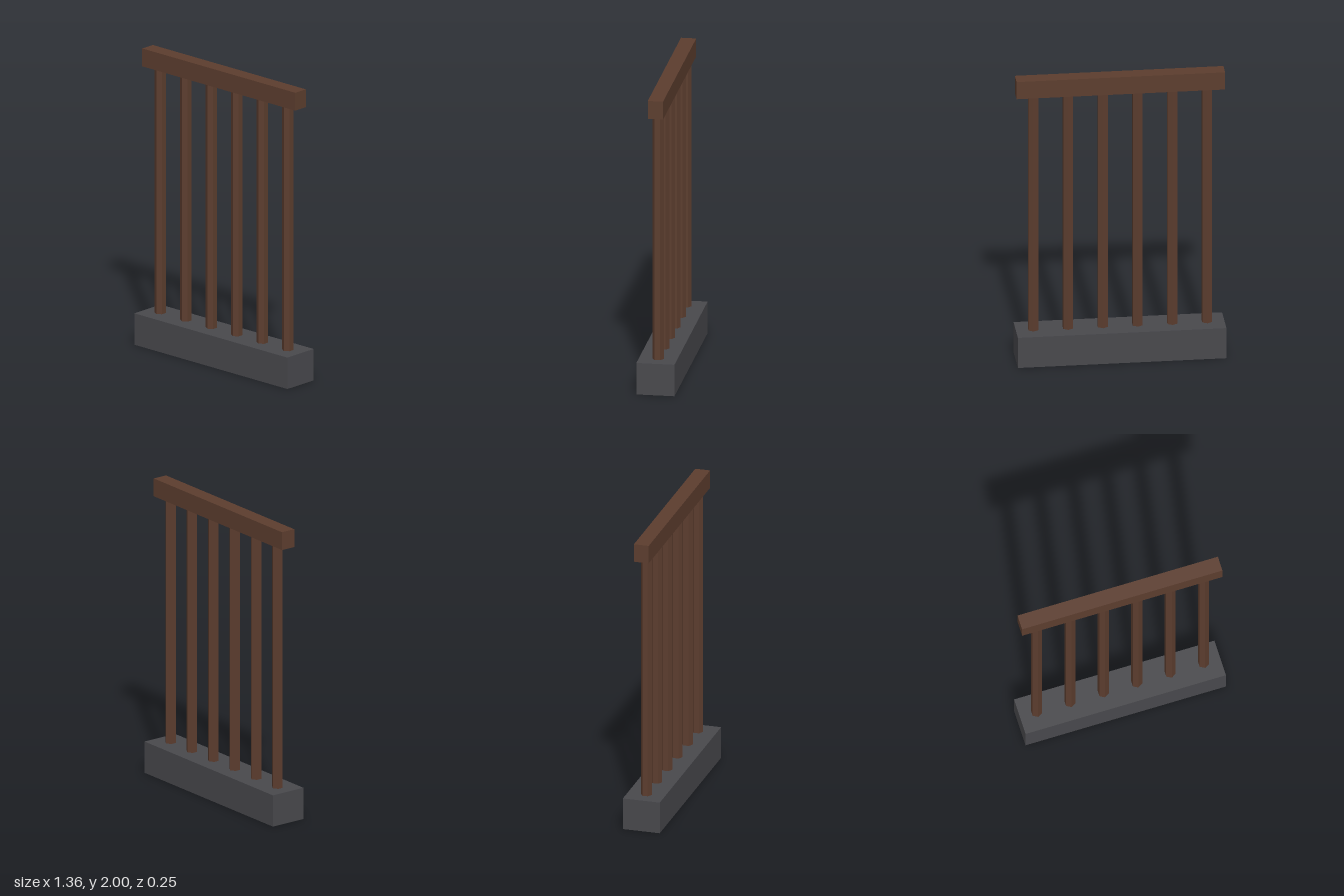
import * as THREE from 'three';

export function createModel() {
  const group = new THREE.Group();
  group.name = 'balustrade';

  const wood = new THREE.MeshStandardMaterial({ color: 0x5c3d2e });
  wood.name = 'dark wood';
  const stone = new THREE.MeshStandardMaterial({ color: 0x48484c });
  stone.name = 'dark stone';

  const length = 1.36, baseTop = 0.214, railBottom = 1.878, height = 2;

  function add(name, geometry, material, x, y) {
    const mesh = new THREE.Mesh(geometry, material);
    mesh.name = name;
    mesh.position.set(x, y, 0);
    group.add(mesh);
  }

  // Stone plinth and wooden handrail
  add('base', new THREE.BoxGeometry(length, baseTop, 0.25), stone, 0, baseTop / 2);
  add('rail', new THREE.BoxGeometry(length, height - railBottom, 0.1), wood, 0, (railBottom + height) / 2);

  // Six hexagonal balusters, corners facing front and back
  const count = 6, spacing = length / count;
  const post = new THREE.CylinderGeometry(0.037, 0.037, railBottom - baseTop, 6).toNonIndexed();
  post.computeVertexNormals();
  for (let i = 0; i < count; i++) {
    add(`baluster${i + 1}`, post, wood, (i - (count - 1) / 2) * spacing, (baseTop + railBottom) / 2);
  }

  return group;
}
